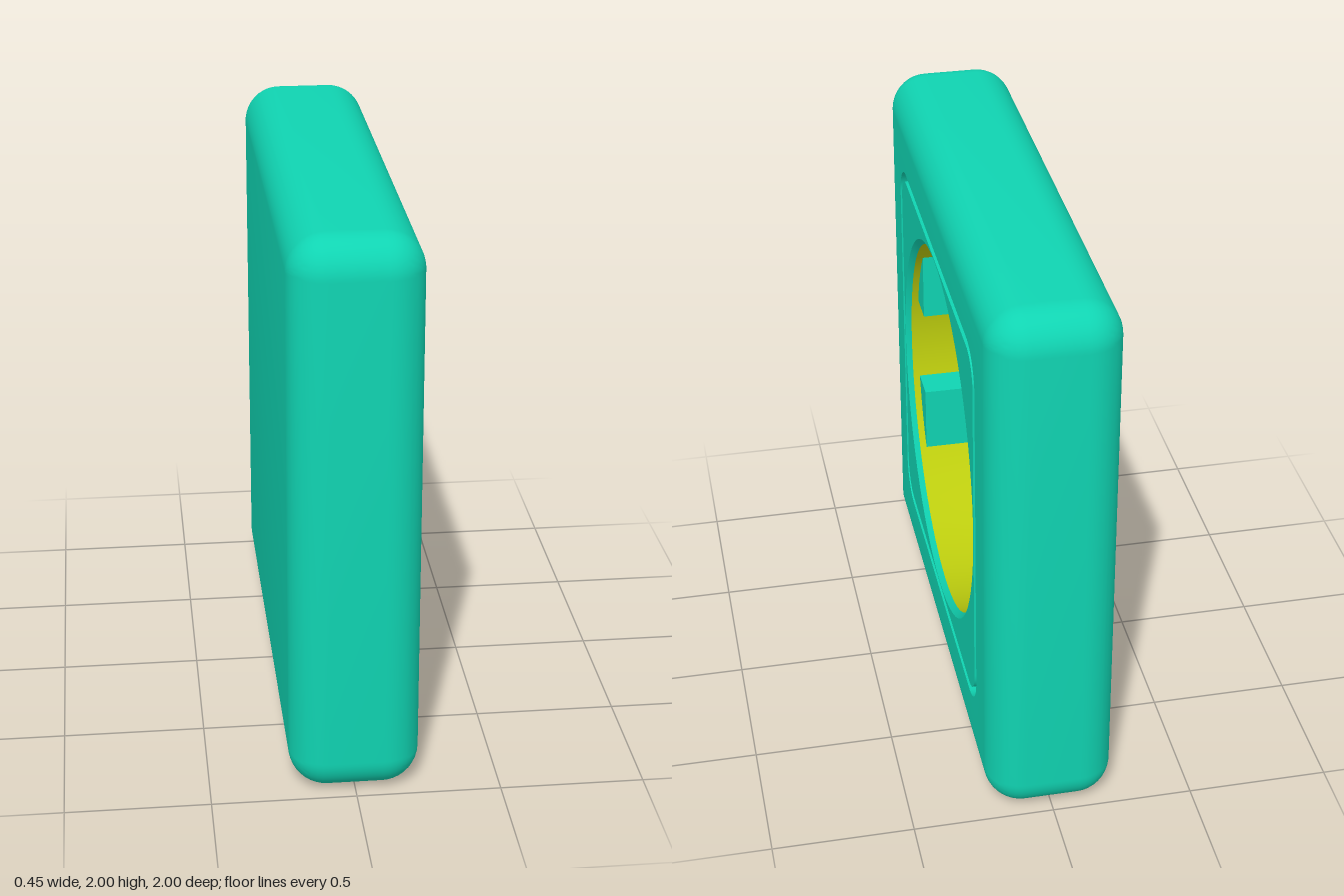
import * as THREE from 'three';
import { toCreasedNormals } from 'three/addons/utils/BufferGeometryUtils.js';

const material = (color) => new THREE.MeshStandardMaterial({ color });
const CORNER = 16; // steps per rounded corner
const FACE = 0.225, FLOOR = -0.1, BORE = 0.675, FILLET = 0.1, PIN = 0.076;

// Rounded square (a circle when r equals half) in the plane at depth x
function contour([half, r, x]) {
  const pts = [];
  for (let c = 0; c < 4; c++) {
    const mid = Math.PI / 4 + c * Math.PI / 2;
    const u = Math.sign(Math.cos(mid)) * (half - r);
    const v = Math.sign(Math.sin(mid)) * (half - r);
    for (let i = 0; i <= CORNER; i++) {
      const a = (c + i / CORNER) * Math.PI / 2;
      pts.push([x, v + r * Math.sin(a), -(u + r * Math.cos(a))]);
    }
  }
  return pts;
}

// Skin through a list of contours
function loft(sections) {
  const rings = sections.map(contour);
  const n = rings[0].length, index = [];
  for (let i = 0; i < rings.length - 1; i++) {
    for (let j = 0; j < n; j++) {
      const a = i * n + j, b = i * n + (j + 1) % n;
      index.push(a, b, b + n, a, b + n, a + n);
    }
  }
  const geo = new THREE.BufferGeometry();
  geo.setAttribute('position', new THREE.Float32BufferAttribute(rings.flat(2), 3));
  geo.setIndex(index);
  return toCreasedNormals(geo, 0.6);
}

const circle = (r, x) => [r, r, x];

function circlePath(Type, u, r) {
  const path = new Type();
  path.absarc(u, 0, r, 0, Math.PI * 2, false);
  return path;
}

// Solid from a shape drawn on the face, between depths x0 and x1
function slab(shape, x0, x1) {
  const geo = new THREE.ExtrudeGeometry(shape, { depth: x1 - x0, bevelEnabled: false, curveSegments: 24 });
  return geo.rotateY(Math.PI / 2).translate(x0, 0, 0);
}

export function createModel() {
  const group = new THREE.Group();
  const green = material(0x10d4b2), yellow = material(0xbccc0e);
  const purple = material(0xcc10d4), blue = material(0x1c1ccc);
  const add = (name, geo, mat) => {
    const mesh = new THREE.Mesh(geo, mat);
    mesh.name = name;
    mesh.position.y = 1;
    group.add(mesh);
    return mesh;
  };

  // Housing: back, rounded sides, front with square groove and bevelled round opening
  const R = 0.13, inner = 1 - R, housing = [[0, 0, -FACE]];
  for (const side of [-1, 1]) {
    for (let i = 0; i <= 10; i++) {
      const t = (side < 0 ? i - 10 : i) / 10 * Math.PI / 2;
      const r = R * Math.cos(t);
      housing.push([inner + r, r, side * (FACE - R) + R * Math.sin(t)]);
    }
  }
  housing.push(
    [0.735, 0.14, FACE], [0.735, 0.14, FACE - 0.03],
    [0.7, 0.105, FACE - 0.03], [0.7, 0.105, FACE],
    circle(0.695, FACE), circle(BORE, FACE - 0.02));
  add('housing', loft(housing), green);

  // Plug recess: wall with a fillet, then a floor with three holes
  const wall = [circle(BORE, FACE - 0.02)];
  for (let i = 0; i <= 8; i++) {
    const t = i / 8 * Math.PI / 2;
    wall.push(circle(BORE - FILLET + FILLET * Math.cos(t), FLOOR + FILLET - FILLET * Math.sin(t)));
  }
  add('recessWall', loft(wall), yellow);

  const holes = [-0.3, 0, 0.3];
  const floor = circlePath(THREE.Shape, 0, BORE - FILLET);
  floor.holes = holes.map((u) => circlePath(THREE.Path, u, PIN));
  add('recessFloor', new THREE.ShapeGeometry(floor, 64).rotateY(Math.PI / 2).translate(FLOOR, 0, 0), yellow);

  // Round-bottomed pin holes and screw hole
  const bore = [circle(PIN, FLOOR)];
  for (let i = 0; i <= 8; i++) {
    const t = i / 8 * Math.PI / 2;
    bore.push(circle(PIN * Math.cos(t), FLOOR - 0.03 - 0.075 * Math.sin(t)));
  }
  for (const z of holes) add(z ? 'pinHole' : 'screwHole', loft(bore), purple).position.z = z;

  // Screw head with a cross slot
  const head = circlePath(THREE.Shape, 0, 0.057);
  const a = 0.05, w = 0.009;
  const cross = [[a, w], [w, w], [w, a], [-w, a], [-w, w], [-a, w],
    [-a, -w], [-w, -w], [-w, -a], [w, -a], [w, -w], [a, -w]];
  head.holes.push(new THREE.Path(cross.map(([u, v]) => new THREE.Vector2(u, v))));
  add('screwHead', slab(head, -0.17, -0.12), blue);
  add('screwSlot', slab(circlePath(THREE.Shape, 0, 0.054), -0.17, -0.145), purple);

  // Four guide blocks, their outer side following the recess wall
  const low = Math.asin(0.17 / BORE), high = Math.acos(0.525 / BORE);
  for (const su of [-1, 1]) {
    for (const sv of [-1, 1]) {
      const pts = [new THREE.Vector2(su * 0.525, sv * 0.17)];
      for (let i = 0; i <= 8; i++) {
        const t = low + (high - low) * i / 8;
        pts.push(new THREE.Vector2(su * BORE * Math.cos(t), sv * BORE * Math.sin(t)));
      }
      add('guideBlock', slab(new THREE.Shape(pts), FLOOR, FACE - 0.045), green);
    }
  }
  return group;
}
